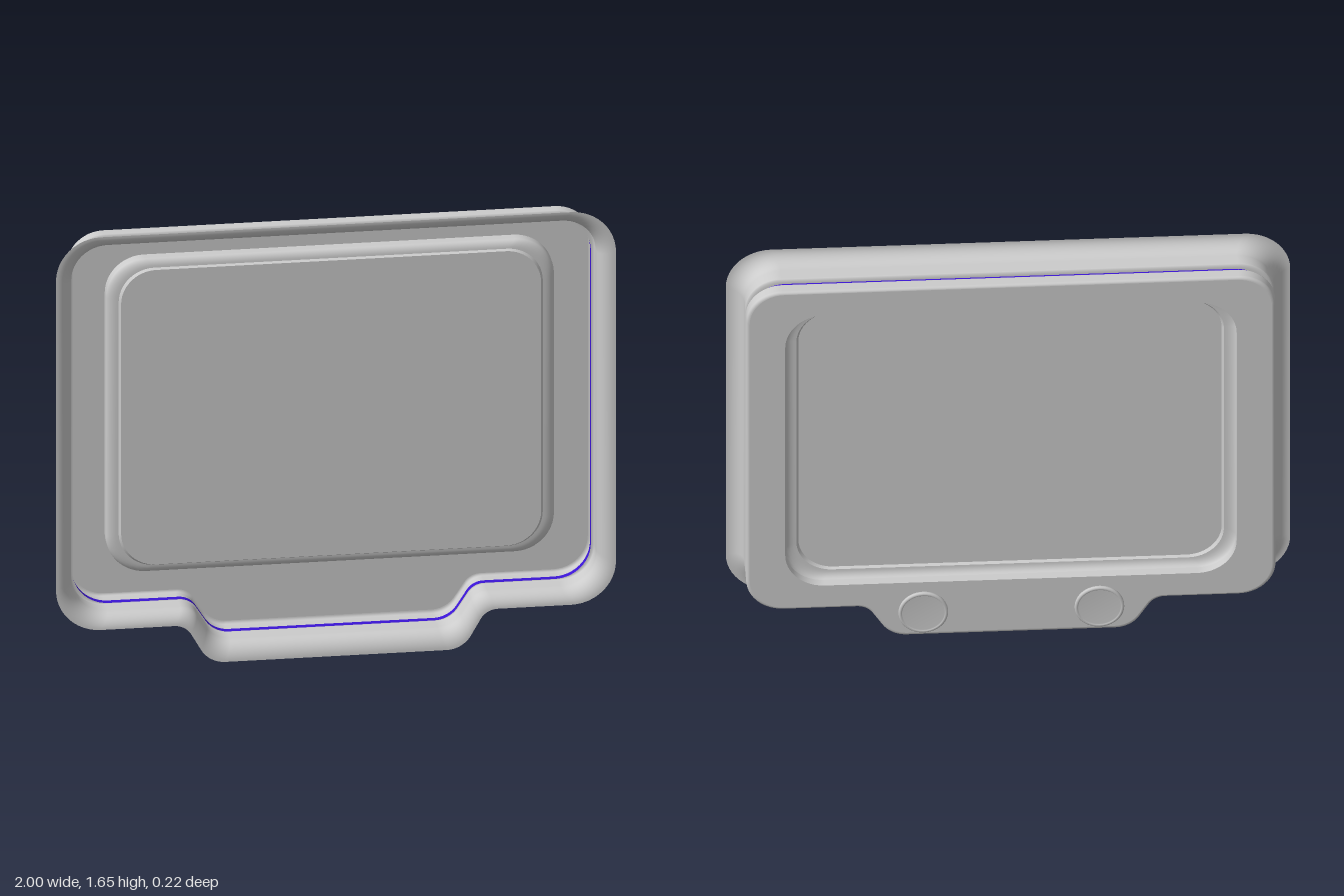
import * as THREE from 'three';

const ARC = 12; // segments per rounded corner
const grey = new THREE.MeshStandardMaterial({ color: 0xcccccc, side: THREE.DoubleSide });
const blue = new THREE.MeshStandardMaterial({ color: 0x3a14d4, side: THREE.DoubleSide });

// Right half of the housing outline as [x, y, corner radius], bottom to top
const WALL = [[0.425, 0.065, 0.1], [0.51, 0.198, 0.07], [0.938, 0.198, 0.13], [0.938, 1.605, 0.13]];
const RIM = [[0.453, 0, 0.1], [0.537, 0.148, 0.07], [1, 0.148, 0.16], [1, 1.655, 0.16]];
const SEAM = [[0.421, 0.068, 0.1], [0.506, 0.202, 0.07], [0.926, 0.202, 0.13], [0.926, 1.587, 0.13]];
// Right half of the screen recess, at the back plate and at the panel
const RECESS = [[0.8, 0.3, 0.14], [0.8, 1.5, 0.14]];
const PANEL = [[0.75, 0.335, 0.125], [0.75, 1.465, 0.125]];

// Mirrors a half outline and rounds every corner with a true arc
function outline(half) {
  const c = [...half, ...[...half].reverse().map(([x, y, r]) => [-x, y, r])];
  const pts = [];
  c.forEach(([x, y, r], i) => {
    const p = new THREE.Vector2(x, y);
    const toPrev = new THREE.Vector2(...c.at(i - 1).slice(0, 2)).sub(p).normalize();
    const toNext = new THREE.Vector2(...c[(i + 1) % c.length].slice(0, 2)).sub(p).normalize();
    const halfAngle = Math.acos(toPrev.dot(toNext)) / 2;
    const centre = toPrev.clone().add(toNext).normalize().multiplyScalar(r / Math.sin(halfAngle)).add(p);
    const start = toPrev.clone().multiplyScalar(r / Math.tan(halfAngle)).add(p);
    const turn = Math.sign(toNext.cross(toPrev)) * (Math.PI - 2 * halfAngle);
    for (let k = 0; k <= ARC; k++) pts.push(start.clone().rotateAround(centre, (turn * k) / ARC));
  });
  return pts;
}

// Outline between two half outlines: t = 0 gives a, t = 1 gives b
const blend = (a, b, t) => outline(a.map((p, i) => p.map((v, j) => v + (b[i][j] - v) * t)));

// Closed band through outlines; profile is a list of [t, z]
function band(name, a, b, profile, material = grey) {
  const pos = [], index = [];
  let n = 0;
  profile.forEach(([t, z]) => {
    const ring = blend(a, b, t);
    n = ring.length;
    ring.forEach((p) => pos.push(p.x, p.y, z));
  });
  for (let i = 0; i < profile.length - 1; i++) {
    for (let j = 0; j < n; j++) {
      const k = (j + 1) % n, u = i * n, v = u + n;
      index.push(u + j, u + k, v + j, u + k, v + k, v + j);
    }
  }
  const g = new THREE.BufferGeometry();
  g.setAttribute('position', new THREE.Float32BufferAttribute(pos, 3));
  g.setIndex(index);
  g.computeVertexNormals();
  const mesh = new THREE.Mesh(g, material);
  mesh.name = name;
  return mesh;
}

// Flat sheet at depth z, with an optional opening
function sheet(name, pts, z, hole) {
  const shape = new THREE.Shape(pts);
  if (hole) shape.holes.push(new THREE.Path(hole));
  const mesh = new THREE.Mesh(new THREE.ShapeGeometry(shape), grey);
  mesh.position.z = z;
  mesh.name = name;
  return mesh;
}

// Quarter-circle profile points from one [t, z] to another
function quarter(t0, z0, t1, z1, steps = 8) {
  return Array.from({ length: steps + 1 }, (_, i) => {
    const a = (i / steps) * Math.PI / 2;
    return [t0 + (t1 - t0) * (1 - Math.cos(a)), z0 + (z1 - z0) * Math.sin(a)];
  });
}

export function createModel() {
  const model = new THREE.Group();
  model.name = 'displayHousing';

  // Front skirt: straight wall with flared open rim, and a lip turned in at the seam
  model.add(band('frontSkirt', WALL, RIM, [[0, 0.004], ...quarter(0, 0.05, 1, 0.11, 12)]));
  model.add(band('skirtLip', WALL, SEAM, quarter(0, 0.004, 1, -0.004, 5)));

  // Coloured gasket strip set into the seam
  model.add(band('gasket', SEAM, SEAM, [[0, -0.004], [0, -0.027]], blue));

  // Back shell: lip, rounded wall, then the plate around the screen recess
  model.add(band('shellLip', WALL, SEAM, quarter(0, -0.035, 1, -0.027, 5)));
  model.add(band('backShellWall', WALL, RIM, [[0, -0.035], ...quarter(0, -0.068, -0.2, -0.08, 6)]));
  model.add(sheet('backPlate', blend(WALL, RIM, -0.2), -0.08, outline(RECESS)));

  // Screen recess: upright wall, sloping cove, short step up to the panel
  model.add(band('recessWall', RECESS, PANEL, [[0, -0.08], [0, -0.047]]));
  model.add(band('recessCove', RECESS, PANEL, quarter(0, -0.047, 0.85, -0.026, 6)));
  model.add(band('recessStep', RECESS, PANEL, [[0.85, -0.026], [1, -0.016]]));
  model.add(sheet('screenPanel', outline(PANEL), -0.016));

  // Two round buttons with a raised rim behind the lower tab
  const profile = [[0, 0], [0.083, 0], [0.088, 0.004], [0.088, 0.011], [0.084, 0.015], [0.077, 0.015], [0.075, 0.011], [0, 0.011]]
    .map(([r, h]) => new THREE.Vector2(r, h));
  for (const side of [1, -1]) {
    const button = new THREE.Mesh(new THREE.LatheGeometry(profile, 40), grey);
    button.name = side > 0 ? 'leftButton' : 'rightButton';
    button.rotation.x = -Math.PI / 2;
    button.position.set(0.312 * side, 0.187, -0.098);
    model.add(button);
  }
  return model;
}
